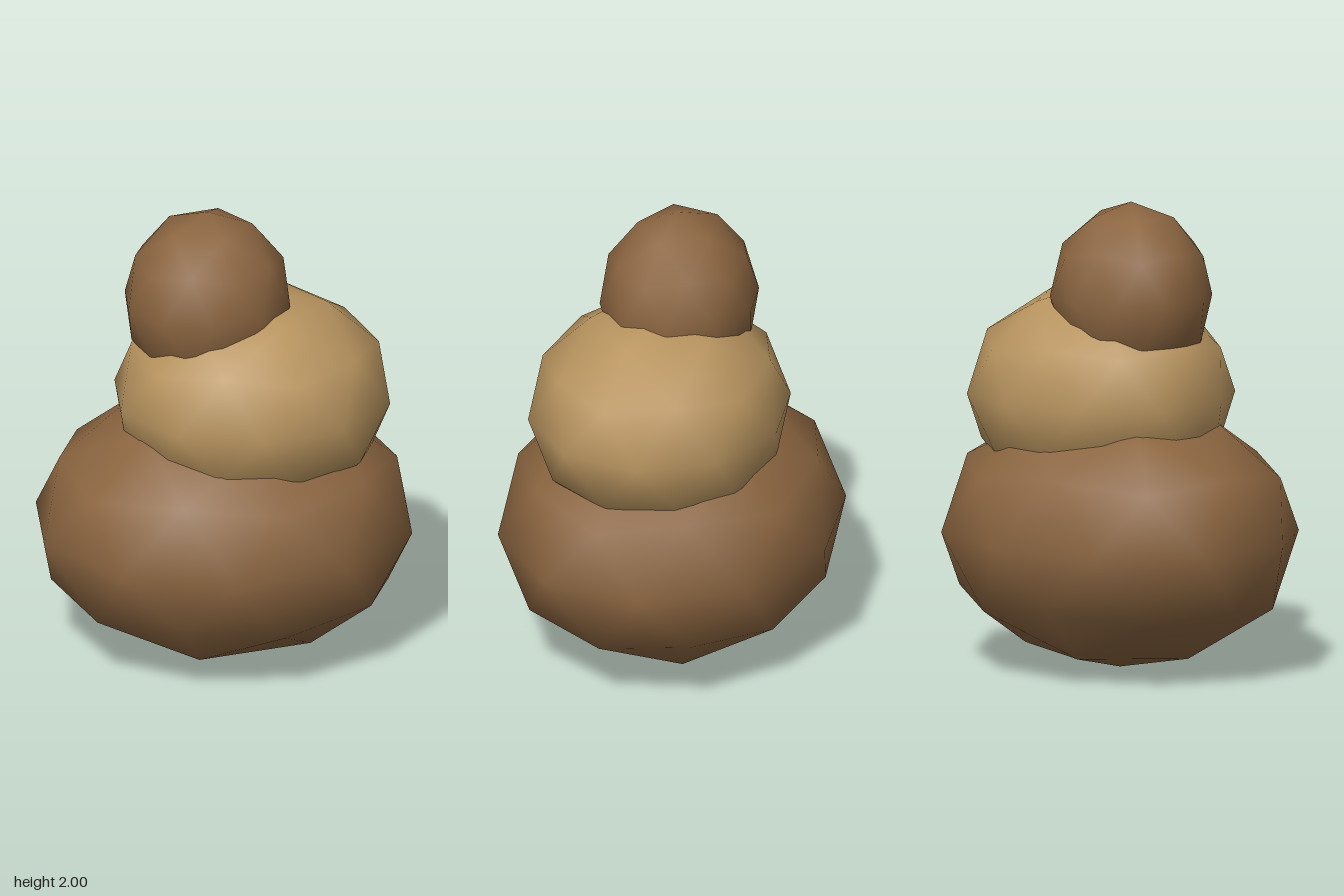
import * as THREE from 'three';

const brown = new THREE.MeshStandardMaterial({ color: 0x8b6540 });
brown.name = 'brown';
const tan = new THREE.MeshStandardMaterial({ color: 0xb8945f });
tan.name = 'tan';

// Smooth-shaded icosphere with a vertex at each pole
function poleIcosphere() {
  const geometry = new THREE.IcosahedronGeometry(1, 1);
  geometry.rotateZ(-Math.atan(2 / (1 + Math.sqrt(5))));
  return geometry;
}

export function createModel() {
  const group = new THREE.Group();
  group.name = 'stackedMound';
  const geometry = poleIcosphere();

  // Each lump: name, material, centre, radii
  const lumps = [
    ['baseLump', brown, [0, 0.58, 0], [0.82, 0.58, 0.72]],
    ['middleLump', tan, [0.12, 1.16, 0], [0.6, 0.48, 0.55]],
    ['topLump', brown, [-0.07, 1.6, 0], [0.36, 0.4, 0.335]],
  ];
  for (const [name, material, centre, radii] of lumps) {
    const mesh = new THREE.Mesh(geometry, material);
    mesh.name = name;
    mesh.position.set(...centre);
    mesh.scale.set(...radii);
    group.add(mesh);
  }
  return group;
}
